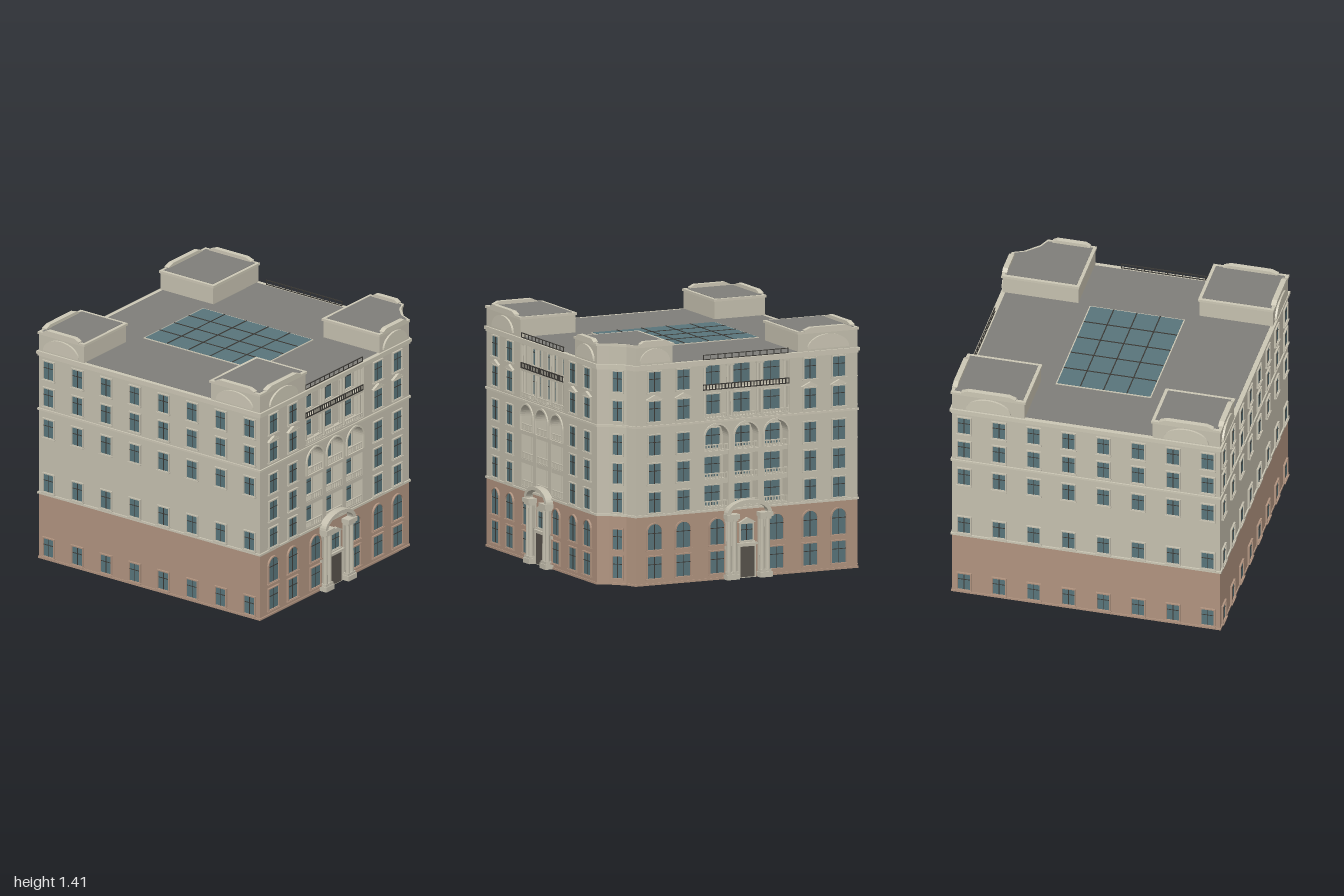
import * as THREE from 'three';

const mat = (name, color) => Object.assign(new THREE.MeshStandardMaterial({ color }), { name });
const M = {
  cream: mat('cream stone', 0xc4bfae), brown: mat('brown stone', 0xb0937f), trim: mat('pale trim', 0xcbc6b4),
  roof: mat('roof grey', 0x7f7e79), glass: mat('teal glass', 0x58747a), dark: mat('dark metal', 0x3b3935),
  door: mat('door brown', 0x57524b),
};
const A = 0.785;        // half width of the walls
const C = -0.08;        // middle of the two decorated facades
const BAY = 0.285;      // half width of the loggia bay
const DEPTH = 0.07;     // loggia depth

function add(parent, name, geo, m, x = 0, y = 0, z = 0) {
  const mesh = new THREE.Mesh(geo, m);
  mesh.name = name;
  mesh.position.set(x, y, z);
  parent.add(mesh);
  return mesh;
}
const box = (p, name, m, w, h, d, x, y, z) => add(p, name, new THREE.BoxGeometry(w, h, d), m, x, y + h / 2, z);
const extrude = (shape, depth) => new THREE.ExtrudeGeometry(shape, { depth, bevelEnabled: false, curveSegments: 10 });
const poly = pts => new THREE.Shape(pts.map(p => new THREE.Vector2(p[0], p[1])));

// Horizontal slab from a plan outline given as [x, z]
function slab(p, name, m, pts, y, h) {
  const geo = extrude(poly(pts.map(([x, z]) => [x, -z])), h).rotateX(-Math.PI / 2);
  return add(p, name, geo, m, 0, y, 0);
}

// Square plan with one concave cut corner, optionally notched for the loggias
function footprint(o, notch = 0) {
  const a = A + o, l = C - BAY, r = C + BAY, n = a - notch;
  const right = notch ? [[a, l], [n, l], [n, r], [a, r]] : [];
  const front = notch ? [[r, a], [r, n], [l, n], [l, a]] : [];
  const cut = [[A, 0.62], [0.722, 0.648], [0.648, 0.722], [0.62, A]].map(([x, z]) => [x + o, z + o]);
  return [[-a, -a], [a, -a], ...right, ...cut, ...front, [-a, a]];
}

// Upright opening outline, square or round headed, with its foot at y
function opening(w, h, arched, x = 0, y = 0, Type = THREE.Shape) {
  const s = new Type(), r = w / 2;
  s.moveTo(x - r, y);
  s.lineTo(x + r, y);
  if (arched) {
    s.lineTo(x + r, y + h - r);
    s.absarc(x, y + h - r, r, 0, Math.PI, false);
  } else {
    s.lineTo(x + r, y + h);
    s.lineTo(x - r, y + h);
  }
  s.closePath();
  return s;
}

function addWindow(p, x, y, w, h, { arched = false, ring = M.cream, z = 0, bars = 1 } = {}) {
  const g = new THREE.Group();
  g.name = 'window';
  g.position.set(x, y, z);
  p.add(g);
  const frame = opening(w + 0.014, h + 0.014, arched, 0, -0.007);
  frame.holes.push(opening(w, h, arched, 0, 0, THREE.Path));
  add(g, 'surround', extrude(frame, 0.011), ring);
  add(g, 'pane', extrude(opening(w, h, arched), 0.003), M.glass);
  for (let i = 1; i <= bars; i++) box(g, 'mullion', M.dark, 0.004, h, 0.004, -w / 2 + w * i / (bars + 1), 0, 0.003);
  box(g, 'transom', M.dark, w, 0.004, 0.004, 0, h * 0.62, 0.003);
  box(g, 'sill', ring, w + 0.02, 0.007, 0.016, 0, -0.01, 0.008);
}

// Rail with evenly spaced balusters
function railing(p, m, x, y, z, w, h, count, t) {
  const g = new THREE.Group();
  g.name = 'railing';
  p.add(g);
  for (const yy of [y, y + h - t]) box(g, 'rail', m, w, t, t * 1.3, x, yy, z);
  for (let i = 0; i < count; i++) box(g, 'baluster', m, t, h, t, x - w / 2 + t / 2 + (w - t) * i / (count - 1), y, z);
}

function column(p, x, z, y0, y1, r) {
  add(p, 'column', new THREE.CylinderGeometry(r * 0.88, r, y1 - y0, 14), M.cream, x, (y0 + y1) / 2, z);
  box(p, 'columnBase', M.cream, r * 2.4, r, r * 2.4, x, y0, z);
  box(p, 'columnCapital', M.cream, r * 2.4, r, r * 2.4, x, y1 - r, z);
}

// Half-oval window and raised parapet on the outside of a roof pavilion
function lunette(p, x, span) {
  const hw = Math.min(0.115, span * 0.34), pw = Math.min(0.16, span * 0.4), y = 1.285;
  const oval = (rx, ry, Type) => {
    const s = new Type();
    s.absellipse(0, 0, rx, ry, 0, Math.PI, false, 0);
    s.closePath();
    return s;
  };
  const ring = oval(hw + 0.016, 0.081, THREE.Shape);
  ring.holes.push(oval(hw, 0.064, THREE.Path));
  add(p, 'lunetteSurround', extrude(ring, 0.012), M.trim, x, y, 0);
  add(p, 'lunettePane', extrude(oval(hw, 0.064, THREE.Shape), 0.004), M.glass, x, y, 0);
  for (const k of [-0.5, 0, 0.5]) box(p, 'lunetteBar', M.dark, 0.004, 0.063 * Math.sqrt(1 - k * k), 0.004, x + hw * k, y, 0.004);
  const top = poly([[-pw, 0], [pw, 0], [pw, 0.01], [pw * 0.75, 0.025], [-pw * 0.75, 0.025], [-pw, 0.01]]);
  add(p, 'raisedParapet', extrude(top, 0.03), M.trim, x, 1.385, -0.02);
}

function entrance(p) {
  const g = new THREE.Group();
  g.name = 'entrance';
  p.add(g);
  box(g, 'doorSurround', M.cream, 0.115, 0.195, 0.012, 0, 0, 0.006);
  box(g, 'door', M.door, 0.088, 0.175, 0.008, 0, 0.005, 0.011);
  box(g, 'doorLintel', M.cream, 0.125, 0.012, 0.025, 0, 0.19, 0.012);
  addWindow(g, 0, 0.215, 0.075, 0.095);
  add(g, 'pediment', extrude(poly([[-0.055, 0], [0.055, 0], [0, 0.03]]), 0.018), M.cream, 0, 0.318, 0);
  for (const s of [-1, 1]) {
    box(g, 'pedestal', M.cream, 0.078, 0.03, 0.05, s * 0.105, 0, 0.025);
    box(g, 'backPilaster', M.cream, 0.066, 0.35, 0.01, s * 0.105, 0, 0.005);
    for (const k of [-0.018, 0.018]) column(g, s * 0.105 + k, 0.027, 0.03, 0.35, 0.014);
    box(g, 'entablature', M.cream, 0.08, 0.026, 0.054, s * 0.105, 0.35, 0.027);
  }
  // arched hood
  const hood = new THREE.Shape();
  hood.absellipse(0, 0, 0.142, 0.08, 0, Math.PI, false, 0);
  hood.absellipse(0, 0, 0.118, 0.06, Math.PI, 0, true, 0);
  hood.closePath();
  add(g, 'archedHood', extrude(hood, 0.045), M.cream, 0, 0.375, 0);
}

function decoratedFacade(p) {
  for (const s of [-1, 1]) {
    for (const x of [0.188, 0.402, 0.585]) {
      addWindow(p, s * x, 0.04, 0.09, 0.125, { ring: M.brown });
      addWindow(p, s * x, 0.205, 0.09, 0.148, { arched: true, ring: M.brown });
    }
    for (const x of [0.402, 0.585]) {
      for (const y of [0.42, 0.585, 0.75, 0.945, 1.115]) addWindow(p, s * x, y, 0.078, 0.115);
      add(p, 'windowPediment', extrude(poly([[-0.055, 0], [0.055, 0], [0, 0.026]]), 0.016), M.trim, s * x, 1.072, 0);
    }
  }
  // pierced wall in front of the loggias
  const bays = [-0.189, 0, 0.189];
  const wall = opening(BAY * 2, 0.85, false, 0, 0.4);
  for (const x of bays) wall.holes.push(opening(0.15, 0.477, true, x, 0.418, THREE.Path));
  wall.holes.push(opening(0.55, 0.308, false, 0, 0.93, THREE.Path));
  add(p, 'loggiaWall', extrude(wall, DEPTH), M.cream, 0, 0, -DEPTH);
  for (const x of bays) {
    for (const y of [0.42, 0.585, 0.75, 0.945, 1.115]) addWindow(p, x, y, 0.108, 0.115, { z: -DEPTH });
    for (const y of [0.418, 0.578, 0.743]) {
      if (y > 0.5) box(p, 'loggiaFloor', M.cream, 0.15, 0.024, DEPTH - 0.004, x, y - 0.024, -DEPTH / 2);
      railing(p, M.cream, x, y, -0.008, 0.15, 0.038, 9, 0.006);
    }
    const arch = opening(0.17, 0.16, true, x, 0.745);
    arch.holes.push(opening(0.15, 0.15, true, x, 0.745, THREE.Path));
    add(p, 'archMoulding', extrude(arch, 0.008), M.trim);
    railing(p, M.cream, x, 0.93, -0.008, 0.165, 0.028, 9, 0.006);
  }
  // top gallery
  box(p, 'galleryFloor', M.cream, 0.55, 0.014, DEPTH - 0.004, 0, 1.082, -DEPTH / 2);
  railing(p, M.dark, 0, 1.096, -0.004, 0.55, 0.034, 28, 0.005);
  for (const x of [-0.268, -0.095, 0.095, 0.268])
    for (const k of [-0.013, 0.013]) column(p, x + k, -0.018, 0.93, 1.238, 0.01);
  railing(p, M.dark, 0, 1.272, -0.004, 0.54, 0.03, 13, 0.004);
  entrance(p);
}

function plainFacade(p) {
  for (const [i, y] of [0.025, 0.42, 0.755, 0.945, 1.11].entries())
    for (let k = 0; k < 8; k++) addWindow(p, (k - 3.5) * 0.204, y, 0.072, 0.108, { ring: i ? M.cream : M.brown });
}

function pavilion(p, pts) {
  const xs = pts.map(q => q[0]), zs = pts.map(q => q[1]);
  const mid = v => (Math.min(...v) + Math.max(...v)) / 2, half = v => (Math.max(...v) - Math.min(...v)) / 2;
  const grow = o => pts.map(([x, z]) => [mid(xs) + (x - mid(xs)) * (1 + o / half(xs)), mid(zs) + (z - mid(zs)) * (1 + o / half(zs))]);
  slab(p, 'pavilionWalls', M.cream, pts, 1.265, 0.112);
  slab(p, 'pavilionCornice', M.trim, grow(0.007), 1.375, 0.014);
  slab(p, 'pavilionRoof', M.roof, grow(-0.012), 1.38, 0.0105);
}

export function createModel() {
  const root = new THREE.Group();
  root.name = 'cornerBuilding';
  const b = new THREE.Group();
  b.name = 'building';
  b.rotation.y = THREE.MathUtils.degToRad(17);
  b.position.x = 0.024;
  root.add(b);

  // walls, string courses and roof
  slab(b, 'lowerWalls', M.brown, footprint(0), 0, 0.4);
  slab(b, 'plinth', M.brown, footprint(0.005), 0, 0.012);
  slab(b, 'upperWalls', M.cream, footprint(0, DEPTH), 0.4, 0.85);
  slab(b, 'lowerCornice', M.trim, footprint(0.008), 0.396, 0.012);
  slab(b, 'middleCornice', M.trim, footprint(0.008), 0.91, 0.012);
  slab(b, 'topFrieze', M.trim, footprint(0.006), 1.242, 0.012);
  slab(b, 'topCornice', M.trim, footprint(0.012), 1.254, 0.018);
  slab(b, 'roof', M.roof, footprint(-0.015), 1.262, 0.0115);

  // skylight
  const [sx, sz, sw, sd] = [-0.008, -0.023, 0.545, 0.773];
  box(b, 'skylightFrame', M.trim, sw + 0.014, 0.006, sd + 0.014, sx, 1.272, sz);
  box(b, 'skylightGlass', M.glass, sw, 0.006, sd, sx, 1.274, sz);
  for (let i = 1; i < 4; i++) box(b, 'skylightBar', M.dark, 0.006, 0.005, sd, sx - sw / 2 + sw * i / 4, 1.278, sz);
  for (let i = 1; i < 5; i++) box(b, 'skylightBar', M.dark, sw, 0.005, 0.006, sx, 1.278, sz - sd / 2 + sd * i / 5);

  // roof pavilions
  const rect = (x0, z0, x1, z1) => [[x0, z0], [x1, z0], [x1, z1], [x0, z1]];
  pavilion(b, rect(-A, -A, -0.39, -0.465));
  pavilion(b, rect(0.36, -A, A, -0.41));
  pavilion(b, rect(-A, 0.436, -0.355, A));
  pavilion(b, [[0.342, 0.387], [A, 0.387], [A, 0.62], [0.722, 0.648], [0.648, 0.722], [0.62, A], [0.342, A]]);

  // facades: build, x, z, turn, lunettes as [position, pavilion width]
  const facades = [
    ['frontFacade', decoratedFacade, C, A, 0, [[-0.49, 0.43], [0.561, 0.278]]],
    ['rightFacade', decoratedFacade, A, C, Math.PI / 2, [[0.517, 0.375], [-0.583, 0.233]]],
    ['backFacade', plainFacade, 0, -A, Math.PI, [[0.587, 0.395], [-0.572, 0.425]]],
    ['leftFacade', plainFacade, -A, 0, -Math.PI / 2, [[-0.625, 0.32], [0.61, 0.349]]],
  ];
  for (const [name, build, x, z, turn, ovals] of facades) {
    const f = new THREE.Group();
    f.name = name;
    f.position.set(x, 0, z);
    f.rotation.y = turn;
    b.add(f);
    build(f);
    for (const [t, span] of ovals) lunette(f, t, span);
  }

  // windows on the cut corner
  const corner = new THREE.Group();
  corner.name = 'cornerFacade';
  corner.position.set(0.685, 0, 0.685);
  corner.rotation.y = Math.PI / 4;
  b.add(corner);
  for (const y of [0.04, 0.205, 0.42, 0.585, 0.75, 0.945, 1.115])
    addWindow(corner, 0, y, 0.056, y < 0.1 ? 0.125 : 0.115, { ring: y < 0.4 ? M.brown : M.cream });
  return root;
}
